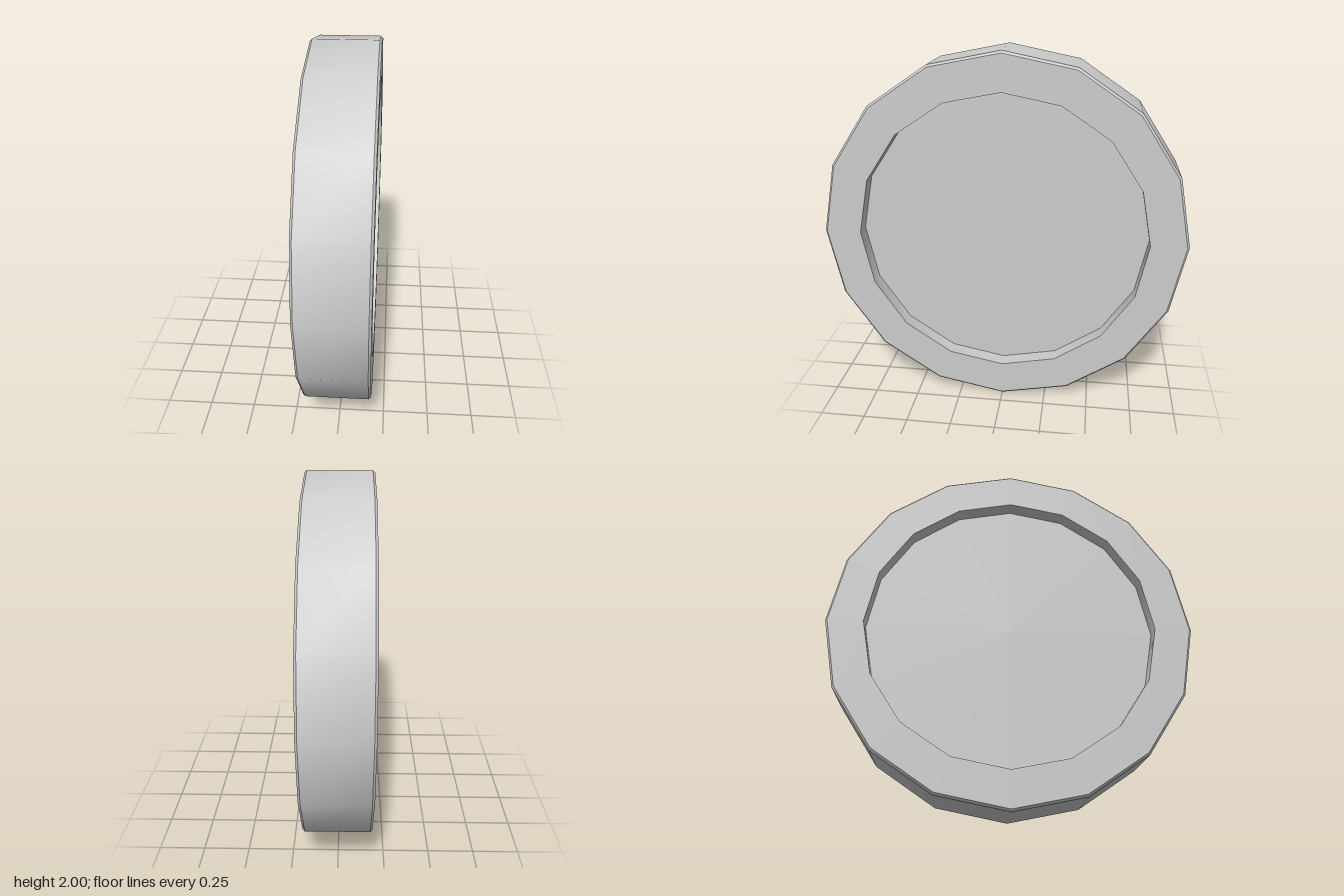
import * as THREE from 'three';
import { toCreasedNormals } from 'three/addons/utils/BufferGeometryUtils.js';

const SIDES = 16;
const RADIUS = 1;
const HALF_WIDTH = 0.18;
const BEVEL = 0.012;
const RECESS_RADIUS = 0.795;
const RECESS_DEPTH = 0.087;

export function createModel() {
  const model = new THREE.Group();
  model.name = 'wheel';
  const material = new THREE.MeshStandardMaterial({ color: 0xcccccc });
  const floorX = HALF_WIDTH - RECESS_DEPTH;

  // Rim: recess wall, side face, bevel and tread turned around the x axis
  const profile = [
    [RECESS_RADIUS, -floorX],
    [RECESS_RADIUS, -HALF_WIDTH],
    [RADIUS - BEVEL, -HALF_WIDTH],
    [RADIUS, -HALF_WIDTH + BEVEL],
    [RADIUS, HALF_WIDTH - BEVEL],
    [RADIUS - BEVEL, HALF_WIDTH],
    [RECESS_RADIUS, HALF_WIDTH],
    [RECESS_RADIUS, floorX],
  ].map(([r, h]) => new THREE.Vector2(r, h));
  const rimGeometry = new THREE.LatheGeometry(profile, SIDES).rotateZ(-Math.PI / 2);
  const rim = new THREE.Mesh(toCreasedNormals(rimGeometry, 0.5), material);
  rim.name = 'rim';
  rim.position.y = RADIUS;
  model.add(rim);

  // Flat recessed disc on each side
  for (const side of [1, -1]) {
    const disc = new THREE.Mesh(new THREE.CircleGeometry(RECESS_RADIUS, SIDES), material);
    disc.name = side > 0 ? 'leftDisc' : 'rightDisc';
    disc.rotation.y = side * Math.PI / 2;
    disc.position.set(side * floorX, RADIUS, 0);
    model.add(disc);
  }

  return model;
}
